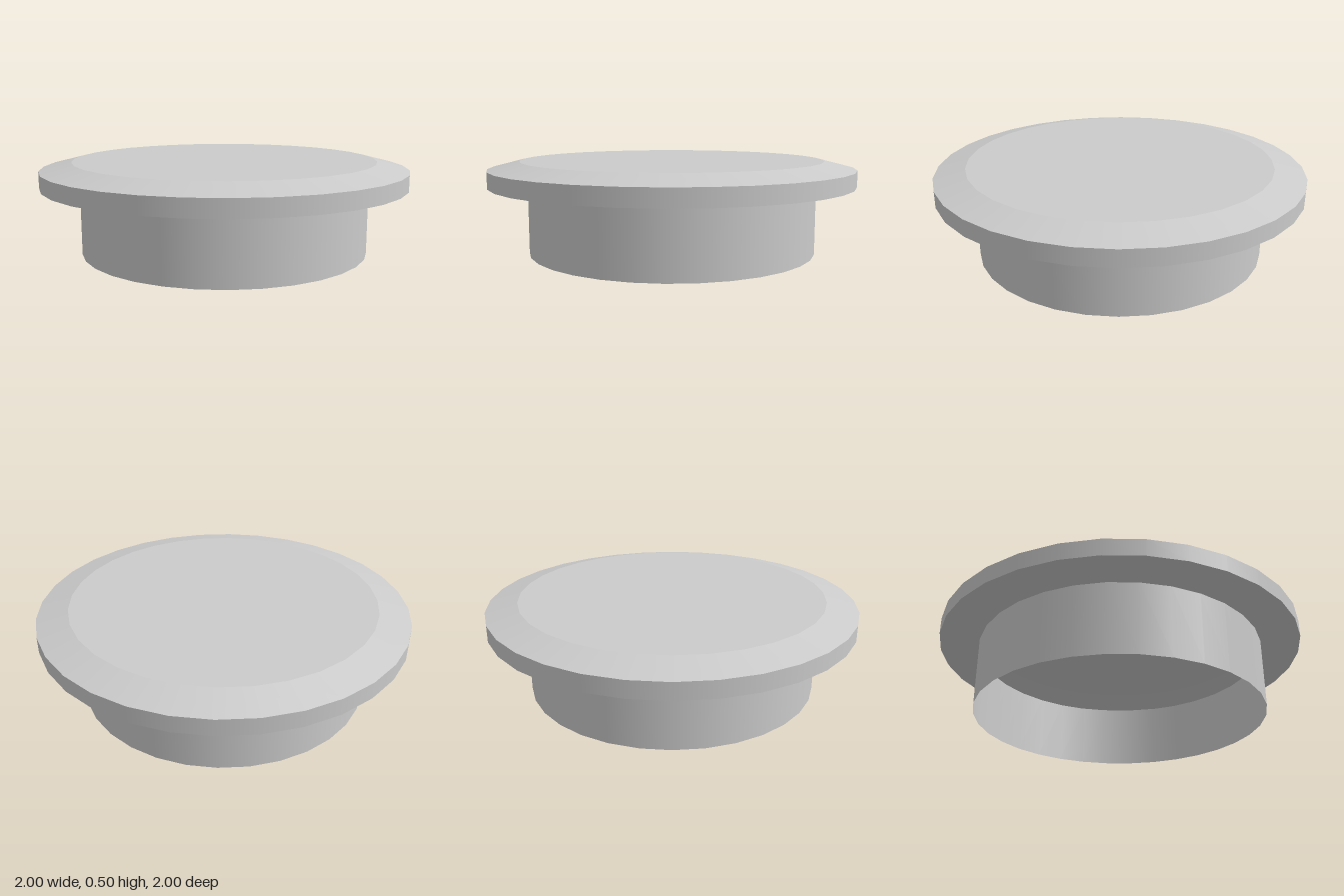
import * as THREE from 'three';

const SEGMENTS = 32;

export function createModel() {
  const group = new THREE.Group();
  group.name = 'plugCap';
  const material = new THREE.MeshStandardMaterial({ color: 0xcccccc, side: THREE.DoubleSide });

  // Thin hollow shell: each band spans two [radius, height] points, so the edges between bands stay sharp
  const profile = [[0.79, 0], [0.79, 0.372], [1, 0.372], [1, 0.46], [0.83, 0.503], [0, 0.503]];
  const names = ['skirt', 'flangeUnderside', 'flangeRim', 'bevel', 'topDisc'];

  names.forEach((name, i) => {
    const points = [profile[i], profile[i + 1]].map(([r, y]) => new THREE.Vector2(r, y));
    const mesh = new THREE.Mesh(new THREE.LatheGeometry(points, SEGMENTS), material);
    mesh.name = name;
    group.add(mesh);
  });
  return group;
}
